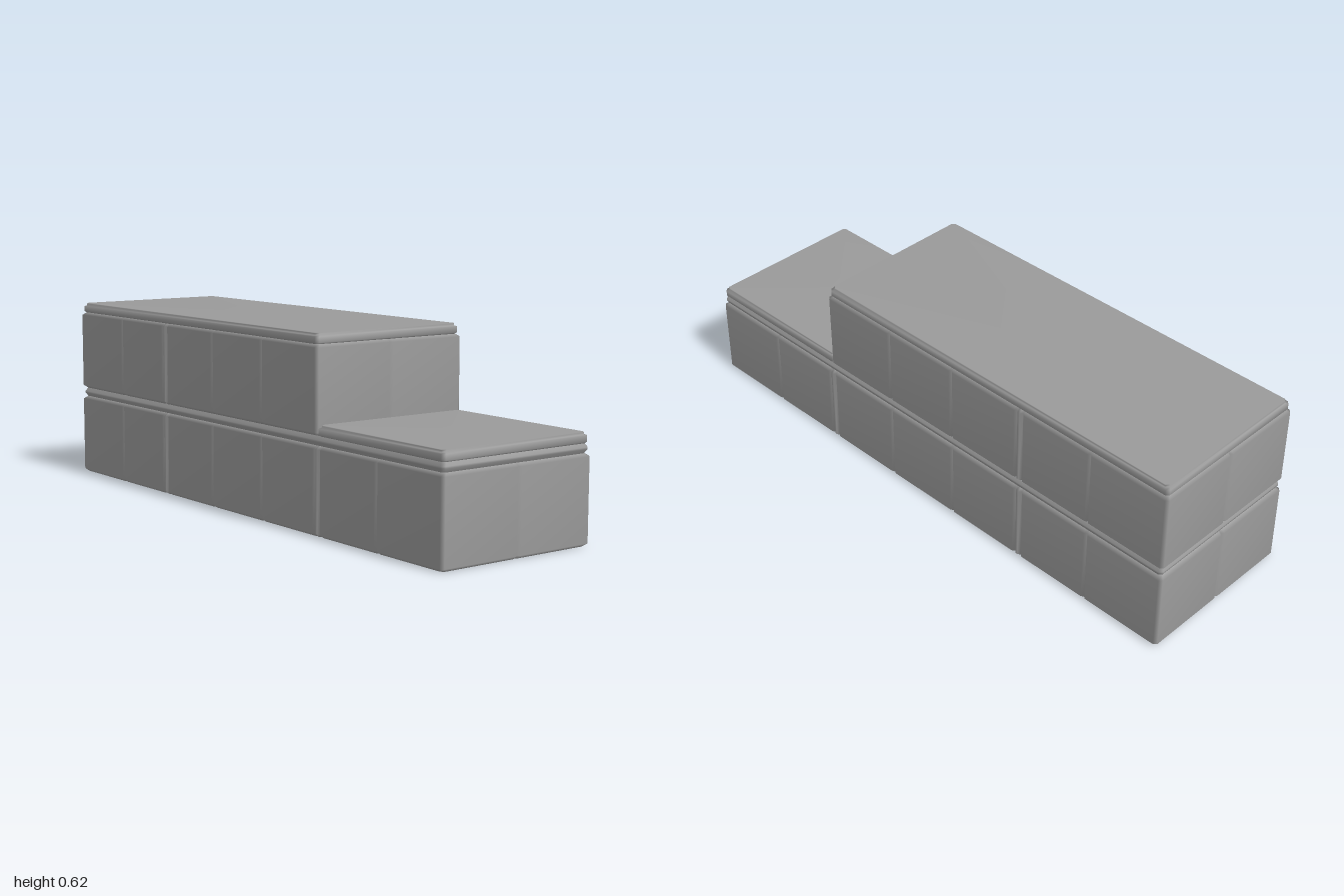
import * as THREE from 'three';

const HALF_Z = 0.2875;
const material = new THREE.MeshStandardMaterial({ color: 0x9a9a9a, side: THREE.DoubleSide });

// Rectangle outline with chamfered corners and V-grooves at the seams, shrunk by inset
function outline(x0, x1, inset, seamsX, seamsZ) {
  const a = x0 + inset, b = x1 - inset, h = HALF_Z - inset;
  const c = 0.01, half = 0.008, depth = 0.008;
  const pts = [];
  const side = (start, end, seams, place) => {
    const dir = Math.sign(end - start);
    pts.push(place(start + dir * c, 0));
    [...seams].sort((p, q) => (p - q) * dir).forEach((s) => {
      pts.push(place(s - dir * half, 0), place(s, depth), place(s + dir * half, 0));
    });
    pts.push(place(end - dir * c, 0));
  };
  side(a, b, seamsX, (x, d) => [x, h - d]);
  side(h, -h, seamsZ, (z, d) => [b - d, z]);
  side(b, a, seamsX, (x, d) => [x, -h + d]);
  side(-h, h, seamsZ, (z, d) => [a + d, z]);
  return pts;
}

// Loft the outline through levels of [y, inset], optionally closing the top; smooth-shaded
function shell(name, x0, x1, levels, { seamsX = [], seamsZ = [], closed = false } = {}) {
  const pos = [], index = [];
  let n = 0;
  levels.forEach(([y, inset]) => {
    const ring = outline(x0, x1, inset, seamsX, seamsZ);
    n = ring.length;
    ring.forEach(([x, z]) => pos.push(x, y, z));
  });
  for (let l = 0; l < levels.length - 1; l++) {
    for (let i = 0; i < n; i++) {
      const a = l * n + i, b = l * n + (i + 1) % n;
      index.push(a, b, b + n, a, b + n, a + n);
    }
  }
  if (closed) {
    const top = (levels.length - 1) * n, centre = pos.length / 3;
    pos.push((x0 + x1) / 2, levels[levels.length - 1][0], 0);
    for (let i = 0; i < n; i++) index.push(top + i, top + (i + 1) % n, centre);
  }
  const geometry = new THREE.BufferGeometry();
  geometry.setAttribute('position', new THREE.Float32BufferAttribute(pos, 3));
  geometry.setIndex(index);
  geometry.computeVertexNormals();
  const mesh = new THREE.Mesh(geometry, material);
  mesh.name = name;
  return mesh;
}

// Hollow ring of bevelled blocks
const blocks = (name, x1, y0, y1, seamsX) => shell(name, -1, x1,
  [[y0, 0.012], [y0 + 0.01, 0], [y1 - 0.01, 0], [y1, 0.012]], { seamsX, seamsZ: [0] });

// Two-stage slab closing a step
const slab = (name, x0, x1, y) => shell(name, x0, x1,
  [[y, 0.012], [y + 0.005, 0.006], [y + 0.023, 0.006], [y + 0.026, 0.013],
    [y + 0.032, 0.013], [y + 0.034, 0.015]], { closed: true });

export function createModel() {
  const group = new THREE.Group();
  group.name = 'steppedBlockPlatform';

  const upperSeams = [-0.71, -0.442, -0.418, -0.142, 0.135];
  const lowerSeams = [...upperSeams, 0.412, 0.436, 0.708];
  const STEP_X = 0.424;

  group.add(blocks('lowerBlocks', 1, 0, 0.278, lowerSeams));
  // Open trim course between the two steps
  group.add(shell('middleTrim', -1, 1,
    [[0.278, 0.012], [0.29, 0.005], [0.296, 0.005], [0.308, 0.012]]));
  group.add(slab('lowerSlab', STEP_X - 0.012, 1, 0.307));

  group.add(blocks('upperBlocks', STEP_X, 0.308, 0.583, upperSeams));
  group.add(slab('upperSlab', -1, STEP_X, 0.582));
  return group;
}
